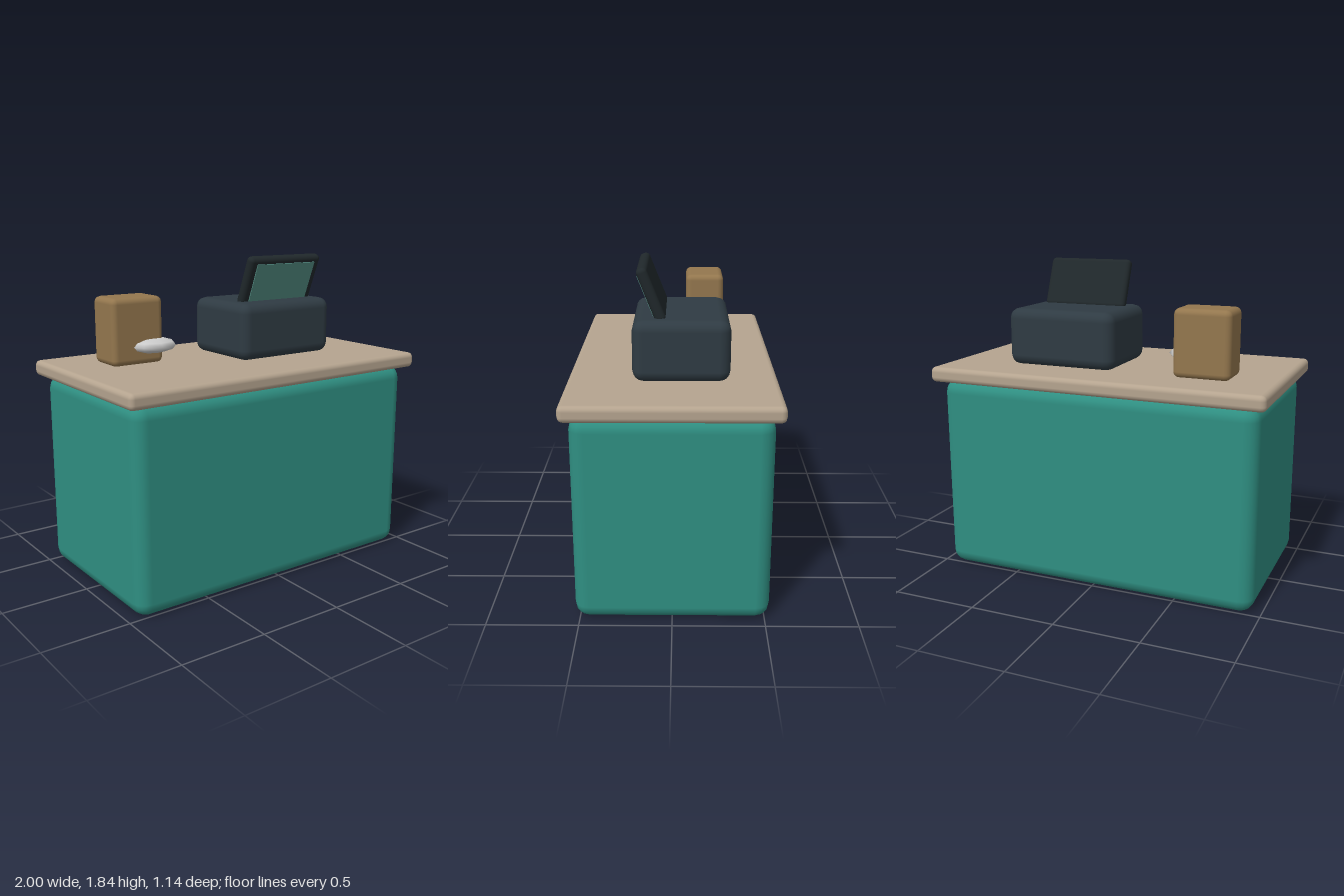
import * as THREE from 'three';
import { RoundedBoxGeometry } from 'three/addons/geometries/RoundedBoxGeometry.js';

function part(name, geometry, color, x, y, z) {
  const mesh = new THREE.Mesh(geometry, new THREE.MeshStandardMaterial({ color }));
  mesh.name = name;
  mesh.position.set(x, y, z);
  return mesh;
}

const softBox = (w, h, d, r) => new RoundedBoxGeometry(w, h, d, 2, r);

export function createModel() {
  const model = new THREE.Group();
  model.name = 'checkoutCounter';

  // Counter: solid base with an overhanging top
  model.add(part('counterBase', softBox(1.91, 1.16, 1.055, 0.08), 0x2f8f82, 0, 0.58, 0));
  model.add(part('countertop', softBox(2, 0.09, 1.14, 0.03), 0xb5a48f, 0, 1.195, 0));

  // Till body
  model.add(part('tillBody', softBox(0.67, 0.335, 0.525, 0.06), 0x2f3b43, 0.285, 1.405, -0.046));

  // Display leaning forward over the front of the till
  const display = new THREE.Group();
  display.name = 'display';
  display.position.set(0.285, 1.693, 0.115);
  display.rotation.x = 0.38;
  display.add(part('displayFrame', softBox(0.525, 0.305, 0.06, 0.025), 0x20282b, 0, 0, 0));
  display.add(part('displayGlass', new THREE.BoxGeometry(0.43, 0.235, 0.01), 0x559086, 0, 0, 0.03));
  model.add(display);

  // Carton with a flattened dish tucked against its front
  model.add(part('carton', softBox(0.33, 0.385, 0.235, 0.035), 0x94774e, -0.573, 1.43, -0.192));
  const dish = part('dish', new THREE.SphereGeometry(1, 8, 6), 0xcccccc, -0.47, 1.34, -0.1);
  dish.scale.set(0.15, 0.044, 0.115);
  model.add(dish);

  return model;
}
